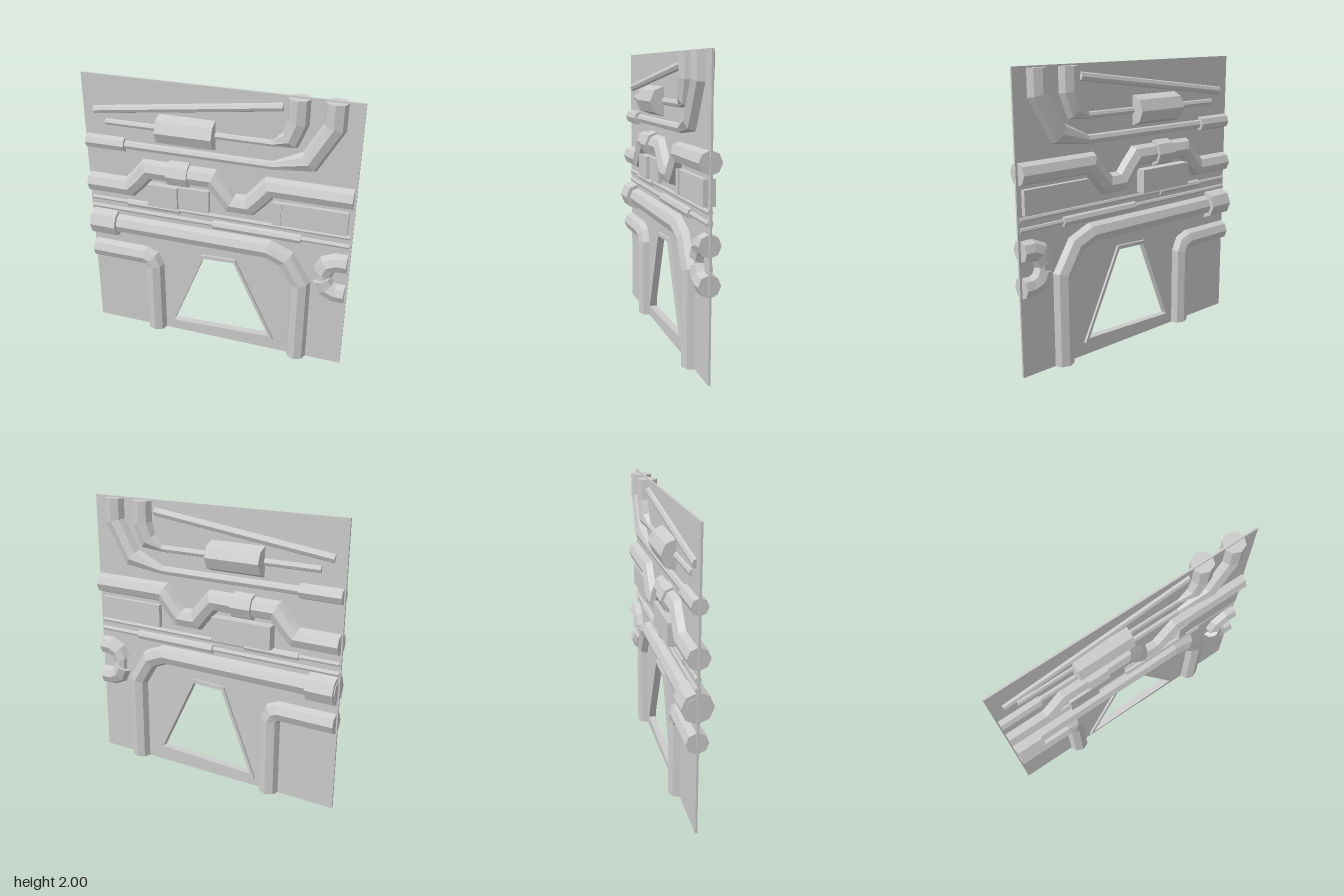
import * as THREE from 'three';

const material = new THREE.MeshStandardMaterial({ color: 0xcccccc, flatShading: true });
const SIDES = 8;

// Mitred octagonal pipe along a path of [x, y, radius?] points in the z = 0 plane
function pipeGeometry(path, radius) {
  const pts = path.map(([x, y]) => new THREE.Vector2(x, y));
  const rings = pts.map((p, i) => {
    const before = pts[Math.max(i - 1, 0)], after = pts[Math.min(i + 1, pts.length - 1)];
    const a = (i ? p.clone().sub(before) : after.clone().sub(p)).normalize();
    const b = (i < pts.length - 1 ? after.clone().sub(p) : a.clone()).normalize();
    const t = a.clone().add(b).normalize();
    const stretch = 1 / t.dot(a);
    const r = path[i][2] ?? radius;
    return Array.from({ length: SIDES }, (_, j) => {
      const ang = (j / SIDES) * Math.PI * 2;
      const n = r * Math.cos(ang) * stretch;
      return [p.x - t.y * n, p.y + t.x * n, r * Math.sin(ang)];
    });
  });
  const pos = [];
  const tri = (...corners) => corners.forEach((c) => pos.push(...c));
  const last = rings.length - 1;
  const start = [pts[0].x, pts[0].y, 0], end = [pts[last].x, pts[last].y, 0];
  for (let j = 0; j < SIDES; j++) {
    const k = (j + 1) % SIDES;
    for (let i = 0; i < last; i++) {
      tri(rings[i][j], rings[i][k], rings[i + 1][k]);
      tri(rings[i][j], rings[i + 1][k], rings[i + 1][j]);
    }
    tri(start, rings[0][k], rings[0][j]);
    tri(end, rings[last][j], rings[last][k]);
  }
  const geo = new THREE.BufferGeometry();
  geo.setAttribute('position', new THREE.Float32BufferAttribute(pos, 3));
  geo.computeVertexNormals();
  return geo;
}

// Flat plate with a hole, centred on z = 0
function plateGeometry(outline, hole, depth) {
  const toVectors = (list) => list.map(([x, y]) => new THREE.Vector2(x, y));
  const shape = new THREE.Shape(toVectors(outline));
  shape.holes.push(new THREE.Path(toVectors(hole)));
  return new THREE.ExtrudeGeometry(shape, { depth, bevelEnabled: false }).translate(0, 0, -depth / 2);
}

export function createModel() {
  const model = new THREE.Group();
  model.name = 'pipeWall';
  const add = (name, geo) => {
    const mesh = new THREE.Mesh(geo, material);
    mesh.name = name;
    model.add(mesh);
  };
  const pipe = (name, radius, path) => add(name, pipeGeometry(path, radius));
  const sleeve = (name, radius, x0, x1, y) => pipe(name, radius, [[x0, y], [x1, y]]);
  const box = (name, x0, x1, z0, z1) =>
    add(name, new THREE.BoxGeometry(x1 - x0, 0.165, z1 - z0).translate((x0 + x1) / 2, 1.173, (z0 + z1) / 2));

  // Wall sheet and the frame of its window
  const frameOuter = [[-0.365, 0.065], [0.455, 0.095], [0.15, 0.735], [-0.105, 0.725]];
  const frameInner = [[-0.33, 0.095], [0.42, 0.122], [0.14, 0.708], [-0.09, 0.7]];
  add('wallSheet', plateGeometry([[-0.96, 0], [0.96, 0], [0.96, 2], [-0.96, 2]], frameOuter, 0.014));
  add('windowFrame', plateGeometry(frameOuter, frameInner, 0.05));

  // Upper pipes, widening as they turn up
  pipe('slantedRod', 0.032, [[-0.88, 1.745], [0.45, 1.92]]);
  pipe('upperPipe', 0.075, [[-0.795, 1.667, 0.027], [0.395, 1.667, 0.027], [0.505, 1.708, 0.068], [0.55, 1.835], [0.55, 1.99]]);
  sleeve('upperCanister', 0.107, -0.4, 0, 1.667);
  pipe('secondPipe', 0.075, [[-0.95, 1.512, 0.034], [0.4, 1.512, 0.034], [0.64, 1.575], [0.785, 1.83], [0.785, 1.99]]);
  sleeve('secondPipeSleeve', 0.055, -0.95, -0.66, 1.512);

  // Winding middle pipe with its clamp
  pipe('windingPipe', 0.075, [
    [-0.95, 1.195], [-0.64, 1.195], [-0.57, 1.265], [-0.495, 1.352], [-0.02, 1.352], [0.05, 1.275],
    [0.115, 1.192], [0.245, 1.192], [0.3, 1.25], [0.385, 1.352], [0.945, 1.352],
  ]);
  sleeve('windingPipeClamp', 0.095, -0.335, -0.185, 1.35);

  // Stepped boxes under the winding pipe
  box('leftBox', -0.485, -0.04, -0.08, 0.04);
  box('leftBoxStep', -0.485, -0.265, 0, 0.065);
  box('rightBox', 0.415, 0.925, -0.04, 0.04);
  box('rightBoxStep', 0.415, 0.475, 0, 0.05);

  // Thin conduits
  sleeve('upperConduit', 0.019, -0.95, 0.945, 1.062);
  sleeve('upperConduitSleeve', 0.031, -0.665, -0.265, 1.06);
  sleeve('lowerConduit', 0.021, -0.95, 0.945, 0.994);
  sleeve('lowerConduitSleeve', 0.037, -0.015, 0.615, 0.993);

  // Lower pipes turning down to the floor
  pipe('mainPipe', 0.075, [[-0.95, 0.875], [0.39, 0.875], [0.52, 0.82], [0.63, 0.64], [0.63, 0]]);
  sleeve('mainPipeSleeve', 0.105, -0.945, -0.75, 0.875);
  pipe('lowerLeftPipe', 0.075, [[-0.95, 0.64], [-0.55, 0.64], [-0.5, 0.62], [-0.475, 0.565], [-0.475, 0]]);

  // Two elbows joined by a narrow neck at the side edge
  for (const s of [1, -1]) {
    const y = (d) => 0.737 + s * d;
    pipe(s > 0 ? 'upperElbow' : 'lowerElbow', 0.073,
      [[0.945, y(0.122)], [0.875, y(0.122)], [0.812, y(0.094)], [0.782, y(0.028)]]);
  }
  pipe('elbowNeck', 0.045, [[0.79, 0.67], [0.79, 0.8]]);

  return model;
}
